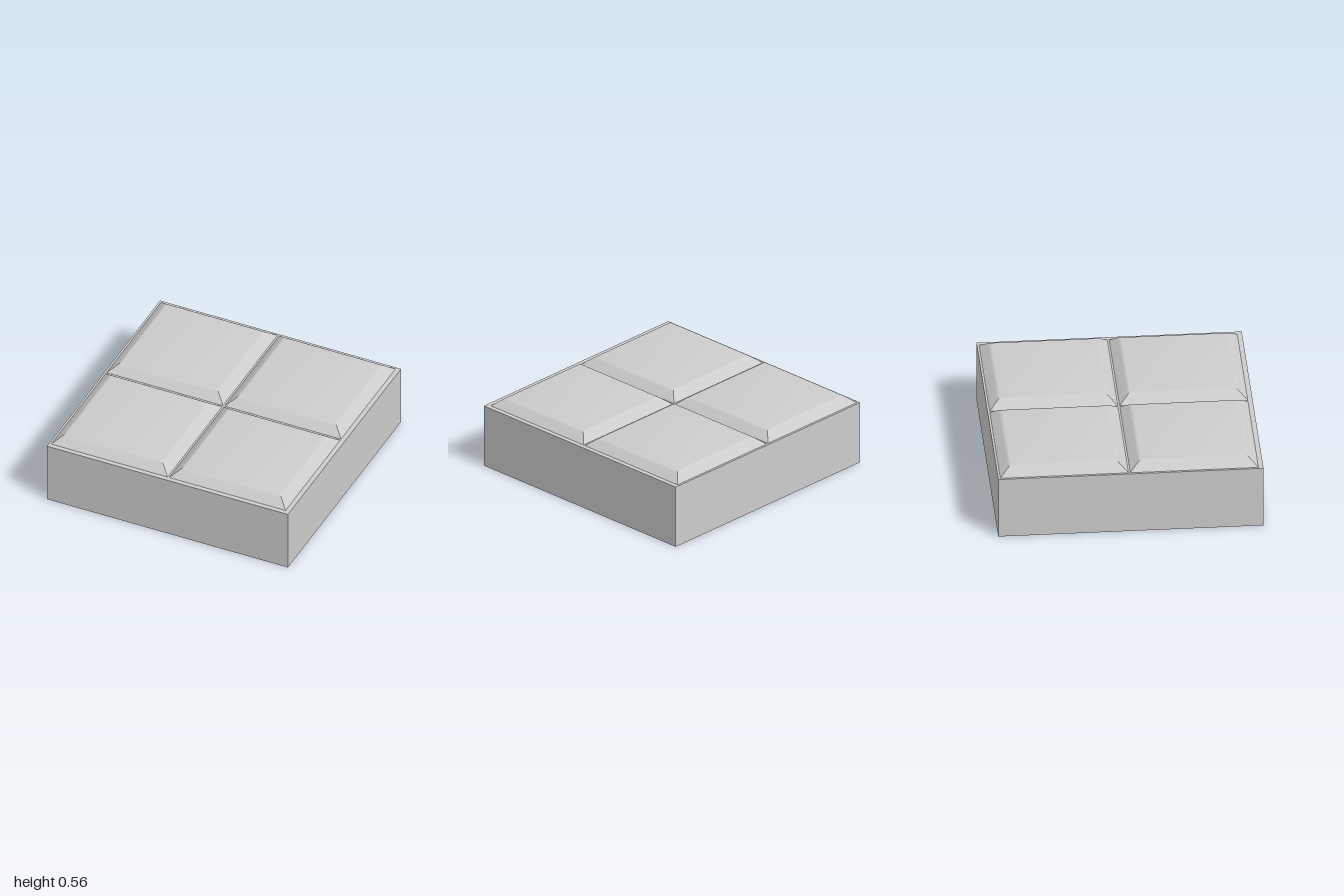
import * as THREE from 'three';
import { toCreasedNormals } from 'three/addons/utils/BufferGeometryUtils.js';

const BASE_HEIGHT = 0.5;
const PAD_HALF = 0.483;

// Bevel profile of a pad: [inset from the edge, height above the base]
const PROFILE = [[0, 0], [0.06, 0.05], [0.069, 0.057], [0.079, 0.062], [0.093, 0.065]];

// Square pad lofted through shrinking square rings, closed by a flat top
function padGeometry() {
  const positions = [];
  const index = [];
  for (const [inset, y] of PROFILE) {
    const h = PAD_HALF - inset;
    positions.push(-h, y, h, h, y, h, h, y, -h, -h, y, -h);
  }
  for (let r = 0; r < PROFILE.length - 1; r++) {
    for (let i = 0; i < 4; i++) {
      const a = r * 4 + i;
      const b = r * 4 + ((i + 1) % 4);
      index.push(a, b, b + 4, a, b + 4, a + 4);
    }
  }
  const t = (PROFILE.length - 1) * 4;
  index.push(t, t + 1, t + 2, t, t + 2, t + 3);

  const geometry = new THREE.BufferGeometry();
  geometry.setAttribute('position', new THREE.Float32BufferAttribute(positions, 3));
  geometry.setIndex(index);
  // Soft upper bevel, crisp corner hips
  return toCreasedNormals(geometry, 0.4);
}

export function createModel() {
  const group = new THREE.Group();
  group.name = 'paddedTileBlock';
  const material = new THREE.MeshStandardMaterial({ color: 0xcccccc });

  // Solid block underneath
  const base = new THREE.Mesh(new THREE.BoxGeometry(2, BASE_HEIGHT, 2), material);
  base.name = 'base';
  base.position.y = BASE_HEIGHT / 2;
  group.add(base);

  // Two by two bevelled pads, separated by narrow grooves
  const pad = padGeometry();
  const centres = [-0.5, 0.48];
  centres.forEach((z, row) => {
    centres.forEach((x, column) => {
      const mesh = new THREE.Mesh(pad, material);
      mesh.name = `${row ? 'front' : 'back'}${column ? 'Left' : 'Right'}Pad`;
      mesh.position.set(x, BASE_HEIGHT, z);
      group.add(mesh);
    });
  });

  return group;
}
